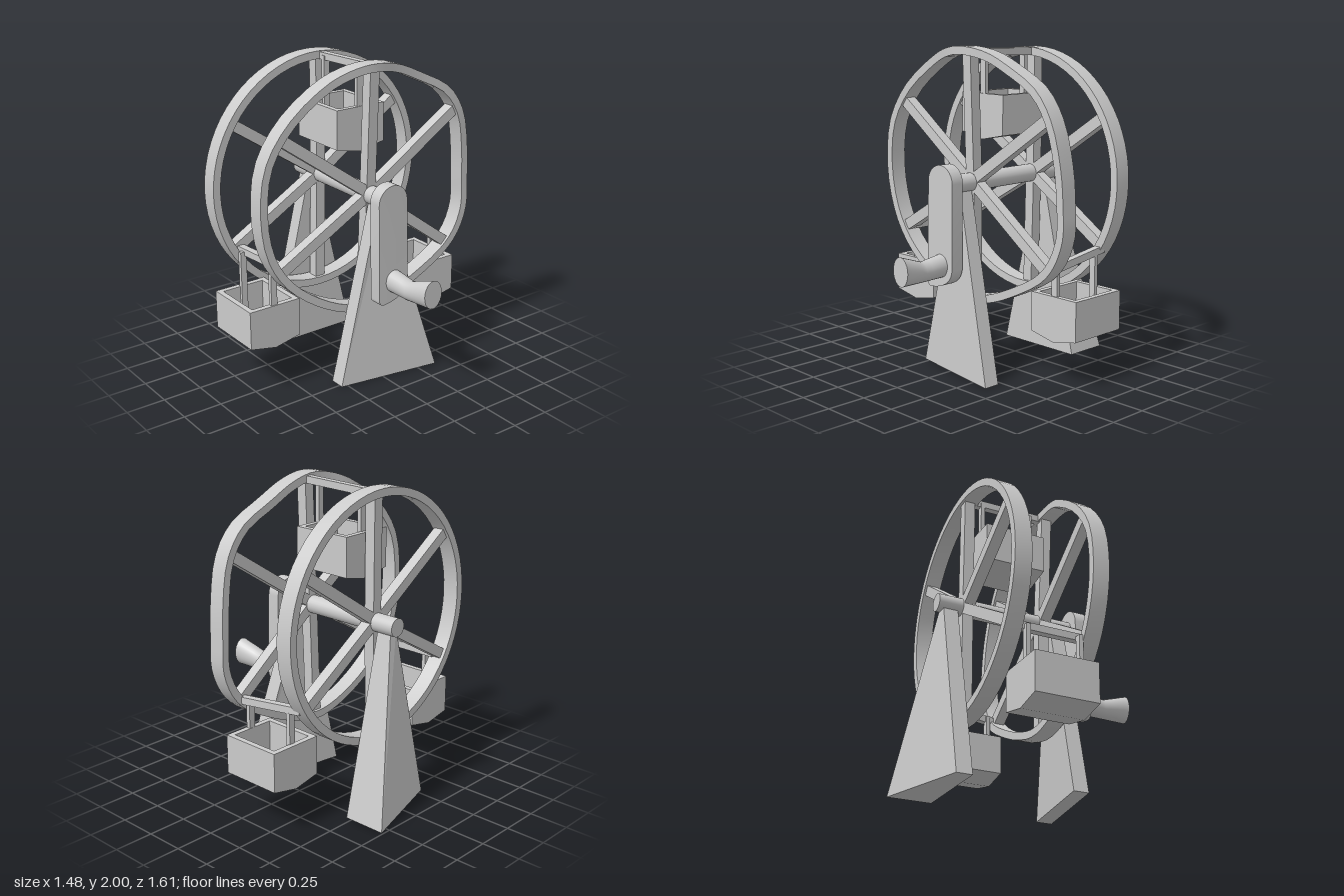
import * as THREE from 'three';
import { toCreasedNormals } from 'three/addons/utils/BufferGeometryUtils.js';

const material = new THREE.MeshStandardMaterial({ color: 0xcccccc });
const V = (x, y, z) => new THREE.Vector3(x, y, z);

function add(parent, name, geometry) {
  const mesh = new THREE.Mesh(geometry, material);
  mesh.name = name;
  parent.add(mesh);
  return mesh;
}

// Straight square bar between two points; w lies along the side direction.
function beam(parent, name, a, b, w, h, side = V(1, 0, 0)) {
  const dir = b.clone().sub(a);
  const mesh = add(parent, name, new THREE.BoxGeometry(w, h, dir.length()));
  const zAxis = dir.normalize();
  const yAxis = zAxis.clone().cross(side).normalize();
  const xAxis = yAxis.clone().cross(zAxis);
  mesh.quaternion.setFromRotationMatrix(new THREE.Matrix4().makeBasis(xAxis, yAxis, zAxis));
  mesh.position.copy(a).add(b).multiplyScalar(0.5);
}

// Extrude a shape drawn in (-z, y) along +x, starting at x0.
function slab(shape, x0, depth) {
  return new THREE.ExtrudeGeometry(shape, { depth, bevelEnabled: false, curveSegments: 16 })
    .rotateY(Math.PI / 2).translate(x0, 0, 0);
}
const polygon = (pts) => new THREE.Shape(pts.map(([z, y]) => new THREE.Vector2(-z, y)));

// Geometry made of four-cornered faces, corners counter-clockwise from outside.
function quadGeometry(quads) {
  const pos = [];
  for (const [a, b, c, d] of quads) for (const p of [a, b, c, a, c, d]) pos.push(p.x, p.y, p.z);
  const g = new THREE.BufferGeometry();
  g.setAttribute('position', new THREE.Float32BufferAttribute(pos, 3));
  g.computeVertexNormals();
  return g;
}

// Flat hoop whose outer edge follows a closed path.
function rim(parent, name, points) {
  const center = V(0, 1.19, 0), half = 0.054, thick = 0.05, steps = 64;
  const curve = new THREE.CatmullRomCurve3(points, true);
  const sections = curve.getPoints(steps).slice(0, steps).map((p) => {
    const inward = V(0, center.y - p.y, -p.z).normalize().multiplyScalar(thick);
    const q = p.clone().add(inward);
    return [V(p.x - half, p.y, p.z), V(p.x + half, p.y, p.z), V(q.x + half, q.y, q.z), V(q.x - half, q.y, q.z)];
  });
  const quads = [];
  sections.forEach((s, i) => {
    const t = sections[(i + 1) % steps];
    for (let k = 0; k < 4; k++) {
      const m = (k + 1) % 4;
      quads.push([s[k], s[m], t[m], t[k]]);
    }
  });
  add(parent, name, toCreasedNormals(quadGeometry(quads), 0.6));
}

// Tapered solid between a bottom and a top quad, corners counter-clockwise from above.
function frustum(bottom, top) {
  const b = bottom.map((p) => V(...p)), t = top.map((p) => V(...p));
  const sides = b.map((p, i) => [p, b[(i + 1) % 4], t[(i + 1) % 4], t[i]]);
  return quadGeometry([...sides, t, [...b].reverse()]);
}

// Open tub with a shallow V bottom, hung from two rods.
function cabin(parent, z, top, barY) {
  const g = new THREE.Group();
  g.name = 'cabin';
  parent.add(g);
  const h = 0.177, wall = 0.035, x0 = -0.34, len = 0.4, floor = -0.21;
  const low = [[-h, -0.245], [0, -0.281], [h, -0.245]];
  const inner = h - wall;
  add(g, 'tub', slab(polygon([[-h, 0], ...low, [h, 0], [inner, 0], [inner, floor], [-inner, floor], [-inner, 0]]),
    x0 + wall, len - 2 * wall));
  for (const x of [x0, x0 + len - wall]) add(g, 'endWall', slab(polygon([[-h, 0], ...low, [h, 0]]), x, wall));
  const rodTop = barY - top;
  for (const x of [-0.298, 0.04]) {
    add(g, 'hangerRod', new THREE.BoxGeometry(0.027, rodTop - floor, 0.042))
      .position.set(x, (rodTop + floor) / 2, 0);
  }
  g.position.set(0, top, z);
}

export function createModel() {
  const model = new THREE.Group();
  const wheel = new THREE.Group();
  wheel.name = 'wheel';
  model.add(wheel);

  // Right-hand rim is even, left-hand rim is bent
  const even = [];
  for (let i = 0; i < 24; i++) {
    const a = (i / 24) * Math.PI * 2;
    even.push(V(-0.394 - 0.004 * Math.cos(a), 1.195 + 0.785 * Math.sin(a), 0.015 + 0.775 * Math.cos(a)));
  }
  rim(wheel, 'rightRim', even);
  rim(wheel, 'leftRim', [
    [0.112, 1.2, 0.78], [0.115, 1.5, 0.74], [0.12, 1.73, 0.58], [0.13, 1.92, 0.31], [0.158, 1.985, 0.14],
    [0.167, 2.0, 0], [0.147, 1.97, -0.19], [0.138, 1.89, -0.38], [0.148, 1.77, -0.6], [0.148, 1.6, -0.72],
    [0.133, 1.34, -0.78], [0.126, 1.12, -0.795], [0.126, 0.94, -0.795], [0.125, 0.78, -0.735],
    [0.12, 0.66, -0.63], [0.118, 0.53, -0.4], [0.118, 0.45, -0.2], [0.118, 0.41, 0], [0.118, 0.45, 0.2],
    [0.113, 0.56, 0.42], [0.107, 0.72, 0.61], [0.105, 0.92, 0.73],
  ].map((p) => V(...p)));

  // Spokes, each tip given as x, y, z
  const spokes = [
    [-0.395, [[-0.395, 1.95, -0.018], [-0.395, 1.61, 0.63], [-0.395, 1.59, -0.63],
      [-0.395, 0.8, 0.64], [-0.395, 0.785, -0.62], [-0.395, 0.44, 0]]],
    [0.13, [[0.16, 1.96, -0.018], [0.12, 1.64, 0.63], [0.146, 1.62, -0.68],
      [0.108, 0.8, 0.64], [0.122, 0.715, -0.645], [0.118, 0.44, 0]]],
  ];
  for (const [x, tips] of spokes) {
    for (const tip of tips) beam(wheel, 'spoke', V(x, 1.18, -0.016), V(...tip), 0.07, 0.068);
  }

  // Cross bars joining the rims, each with its cabin
  const bars = [
    { a: V(-0.38, 1.95, -0.02), b: V(0.16, 1.965, -0.035), z: -0.015, top: 1.71 },
    { a: V(-0.38, 0.803, 0.605), b: V(0.11, 0.815, 0.58), z: 0.63, top: 0.575 },
    { a: V(-0.38, 0.772, -0.612), b: V(0.12, 0.72, -0.645), z: -0.62, top: 0.55 },
  ];
  for (const { a, b, z, top } of bars) {
    beam(wheel, 'crossBar', a, b, 0.045, 0.045, V(0, 0, 1));
    cabin(model, z, top, (a.y + b.y) / 2);
  }

  // Axle
  add(model, 'axle', new THREE.CylinderGeometry(0.057, 0.057, 0.91, 24).rotateZ(Math.PI / 2))
    .position.set(-0.135, 1.177, -0.018);

  // Tapered supports
  add(model, 'rightSupport', frustum(
    [[-0.56, 0, 0.29], [-0.46, 0, 0.29], [-0.46, 0, -0.31], [-0.74, 0, -0.31]],
    [[-0.555, 1.16, 0.01], [-0.46, 1.16, 0.01], [-0.46, 1.16, -0.04], [-0.555, 1.16, -0.04]]));
  add(model, 'leftSupport', frustum(
    [[0.175, 0, 0.29], [0.275, 0, 0.29], [0.385, 0, -0.38], [0.28, 0, -0.38]],
    [[0.18, 1.16, 0.01], [0.275, 1.16, 0.01], [0.275, 1.16, -0.04], [0.18, 1.16, -0.04]]));

  // Crank arm, rounded above, skewed below
  const arm = new THREE.Shape();
  arm.moveTo(-0.104, 0.59);
  arm.quadraticCurveTo(-0.104, 0.55, -0.07, 0.549);
  arm.quadraticCurveTo(0.1, 0.565, 0.114, 0.67);
  arm.lineTo(0.11, 1.195);
  arm.absarc(0.003, 1.195, 0.107, 0, Math.PI, false);
  arm.closePath();
  const armGeo = slab(arm, 0.313, 0.085);
  const ap = armGeo.attributes.position;
  for (let i = 0; i < ap.count; i++) ap.setX(i, ap.getX(i) + 0.012 * Math.max(0, (1.2 - ap.getY(i)) / 0.65));
  add(model, 'crankArm', toCreasedNormals(armGeo, 0.6));

  // Crank handle, bent and flared towards its end
  const handle = new THREE.CylinderGeometry(1, 1, 1, 24, 8).rotateZ(-Math.PI / 2);
  const hp = handle.attributes.position;
  const mix = (u, a, b, c) => (u < 0.5 ? a + (b - a) * 2 * u : b + (c - b) * (2 * u - 1));
  for (let i = 0; i < hp.count; i++) {
    const u = hp.getX(i) + 0.5;
    hp.setXYZ(i, 0.38 + 0.36 * u,
      mix(u, 0.692, 0.678, 0.711) + hp.getY(i) * mix(u, 0.073, 0.062, 0.09),
      mix(u, -0.01, -0.015, -0.035) + hp.getZ(i) * mix(u, 0.065, 0.055, 0.066));
  }
  add(model, 'crankHandle', toCreasedNormals(handle, 0.6));

  return model;
}
